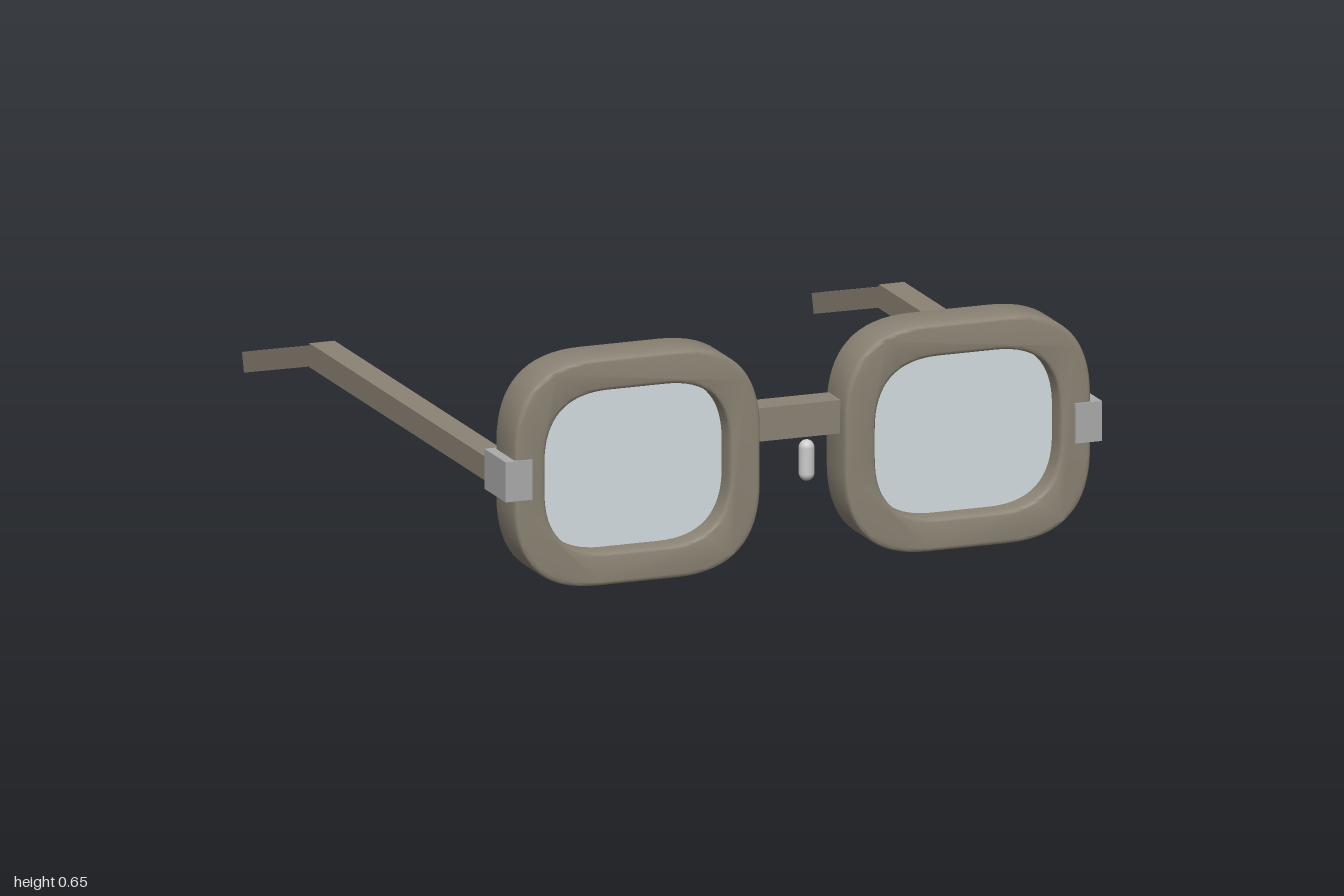
import * as THREE from 'three';
import { toCreasedNormals } from 'three/addons/utils/BufferGeometryUtils.js';

const material = (color) => new THREE.MeshStandardMaterial({ color });

// Rounded rectangle outline centred on the origin
function outline(path, w, h, r) {
  const x = w / 2, y = h / 2;
  path.moveTo(-x + r, -y);
  path.lineTo(x - r, -y);
  path.quadraticCurveTo(x, -y, x, -y + r);
  path.lineTo(x, y - r);
  path.quadraticCurveTo(x, y, x - r, y);
  path.lineTo(-x + r, y);
  path.quadraticCurveTo(-x, y, -x, y - r);
  path.lineTo(-x, -y + r);
  path.quadraticCurveTo(-x, -y, -x + r, -y);
  return path;
}

export function createModel() {
  const group = new THREE.Group();
  const frameMat = material(0x8b8374);
  const lensMat = material(0xd3dde1);
  const hingeMat = material(0xaaaaaa);
  const padMat = material(0xcccccc);

  function add(name, geometry, mat, x, y, z) {
    const mesh = new THREE.Mesh(geometry, mat);
    mesh.name = name;
    mesh.position.set(x, y, z);
    group.add(mesh);
    return mesh;
  }

  // Thick rim with a softened edge and a rounded opening
  const rimShape = outline(new THREE.Shape(), 0.736, 0.655, 0.25);
  rimShape.holes.push(outline(new THREE.Path(), 0.552, 0.465, 0.19));
  const bevel = 0.012;
  const rimGeo = toCreasedNormals(new THREE.ExtrudeGeometry(rimShape, {
    depth: 0.15 - 2 * bevel, curveSegments: 16, bevelThickness: bevel,
    bevelSize: bevel, bevelOffset: -bevel, bevelSegments: 3,
  }).translate(0, 0, -0.075 + bevel), 0.6);

  // Thin lens seated slightly inside the rim
  const lensGeo = toCreasedNormals(new THREE.ExtrudeGeometry(
    outline(new THREE.Shape(), 0.566, 0.479, 0.19),
    { depth: 0.02, curveSegments: 16, bevelEnabled: false },
  ).translate(0, 0, -0.01), 0.6);

  const hingeGeo = new THREE.BoxGeometry(0.08, 0.115, 0.16);
  const templeGeo = new THREE.BoxGeometry(0.075, 0.069, 1.345);
  const tipGeo = new THREE.BoxGeometry(0.058, 0.058, 0.538);
  const padGeo = new THREE.CapsuleGeometry(0.022, 0.074, 8, 16);

  for (const [side, s] of [['left', 1], ['right', -1]]) {
    add(side + 'Rim', rimGeo, frameMat, s * 0.494, 0.3325, 0.92);
    add(side + 'Lens', lensGeo, lensMat, s * 0.494, 0.3325, 0.92);
    add(side + 'Hinge', hingeGeo, hingeMat, s * 0.852, 0.333, 0.92);
    add(side + 'Temple', templeGeo, frameMat, s * 0.852, 0.333, 0.1985);
    // Ear piece slopes down towards the back
    const tip = add(side + 'EarPiece', tipGeo, frameMat, s * 0.852, 0.257, -0.733);
    tip.rotation.x = -0.277;
    add(side + 'NosePad', padGeo, padMat, s * 0.116, 0.231, 0.73);
  }

  // Bridge joining the two rims
  add('bridge', new THREE.BoxGeometry(0.3, 0.096, 0.09), frameMat, 0, 0.41, 0.91);
  return group;
}
